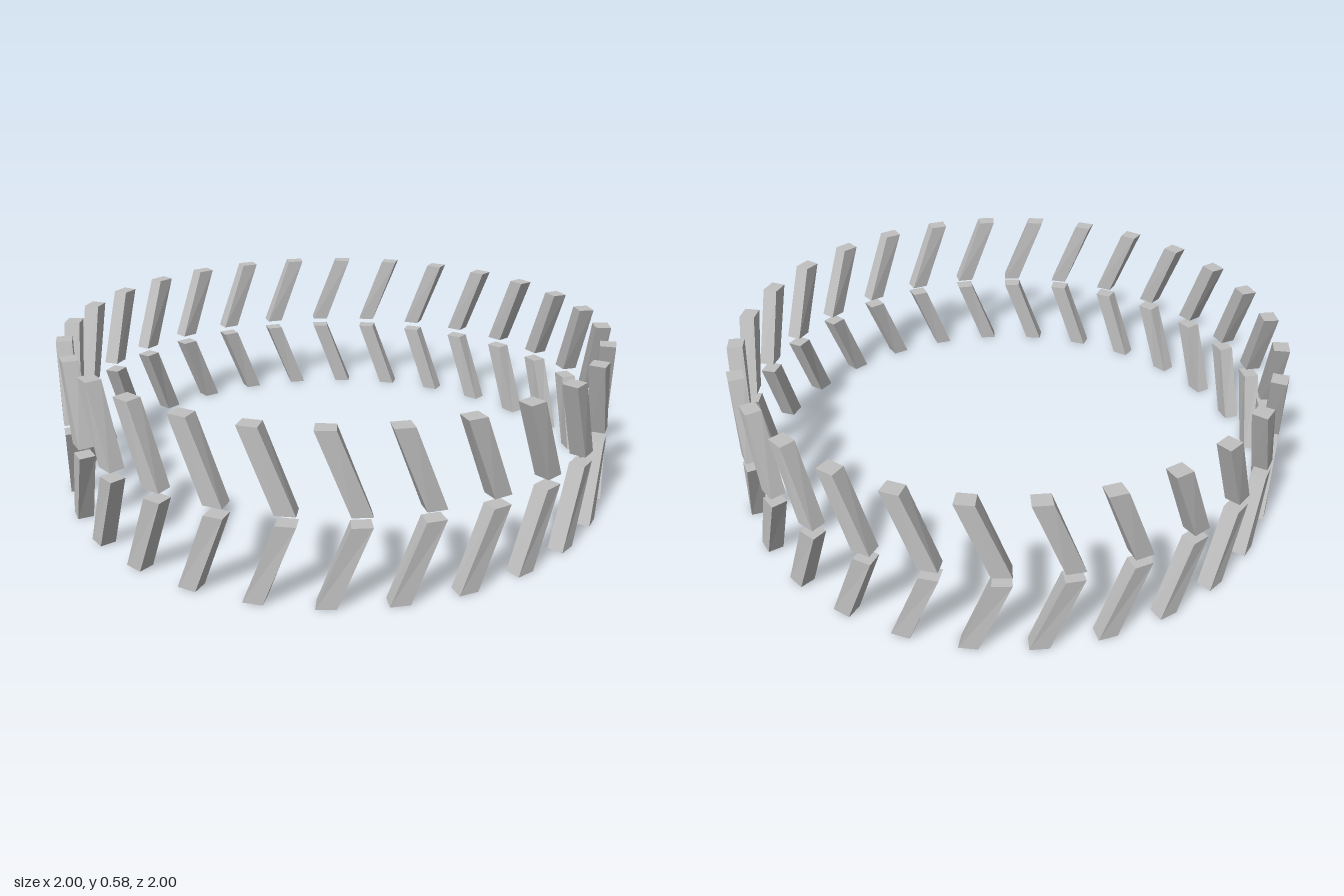
import * as THREE from 'three';

const COUNT = 28;          // bars per row
const INNER = 0.945, OUTER = 1.0;
const HALF_WIDTH = 0.0325; // half bar width, as an angle
const LEAN = 0.107;        // angle between the two ends of a bar

// A box wrapped on to the ring: x becomes angle, z becomes radius.
// The ends sit at their own angles, so the bar is slightly twisted.
function barGeometry(y0, y1, angle0, angle1) {
  const geometry = new THREE.BoxGeometry(2, 1, 1).toNonIndexed();
  const p = geometry.attributes.position;
  for (let i = 0; i < p.count; i++) {
    const atTop = p.getY(i) > 0;
    const angle = (atTop ? angle1 : angle0) + p.getX(i) * HALF_WIDTH;
    const radius = p.getZ(i) > 0 ? OUTER : INNER;
    p.setXYZ(i, radius * Math.sin(angle), atTop ? y1 : y0, radius * Math.cos(angle));
  }
  geometry.computeVertexNormals();
  return geometry;
}

export function createModel() {
  const model = new THREE.Group();
  model.name = 'chevronRing';
  const grey = new THREE.MeshStandardMaterial({ color: 0xc0c0c0 });
  grey.name = 'lightGrey';

  // Two rows leaning opposite ways form a ring of chevrons
  const rows = [
    ['lower', barGeometry(0, 0.273, -LEAN, 0)],
    ['upper', barGeometry(0.307, 0.58, 0, -LEAN)],
  ];
  for (const [name, geometry] of rows) {
    const row = new THREE.Group();
    row.name = name + 'Row';
    for (let i = 0; i < COUNT; i++) {
      const bar = new THREE.Mesh(geometry, grey);
      bar.name = name + 'Bar';
      bar.rotation.y = (i / COUNT) * Math.PI * 2;
      row.add(bar);
    }
    model.add(row);
  }
  return model;
}
